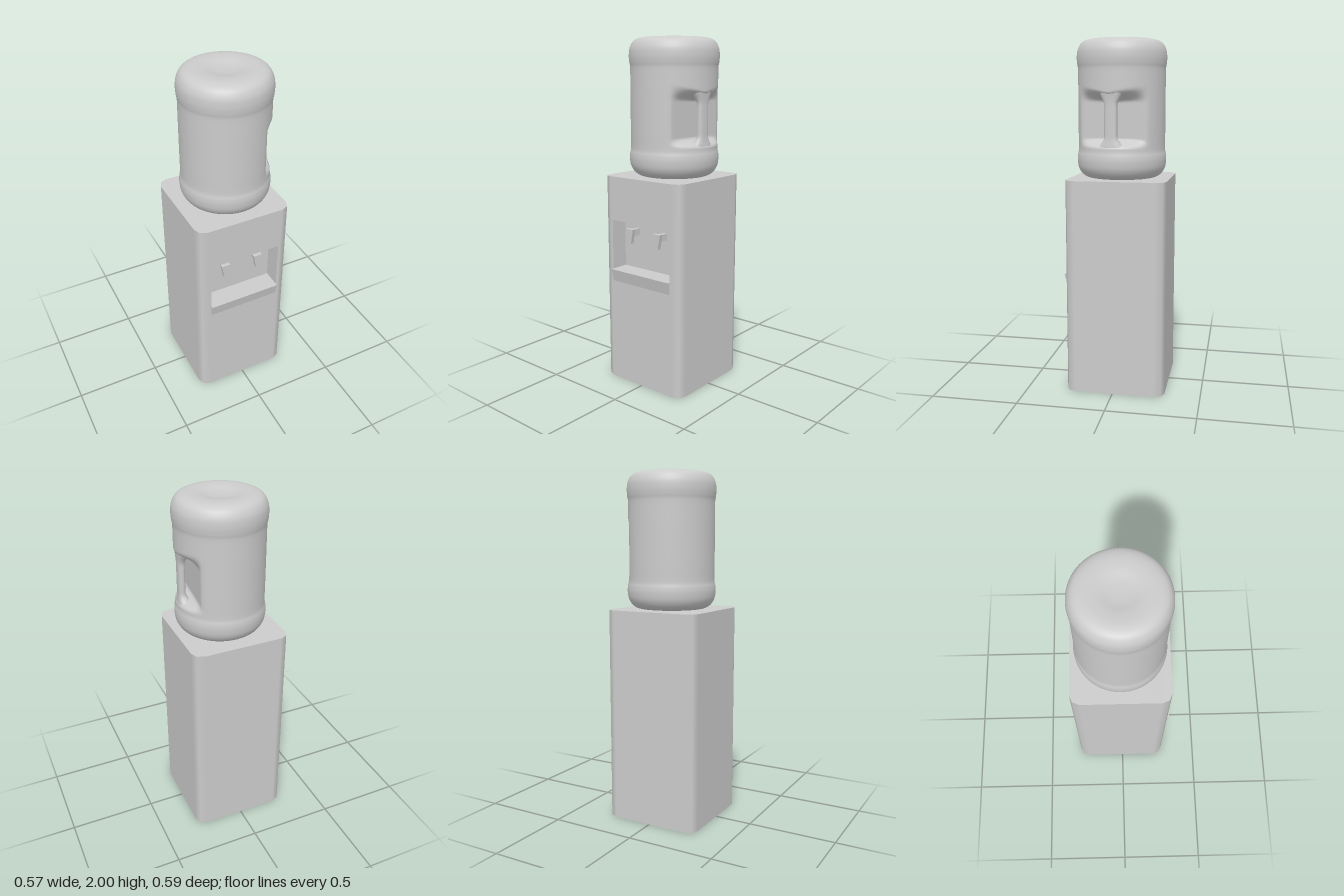
import * as THREE from 'three';
import { mergeVertices } from 'three/addons/utils/BufferGeometryUtils.js';

const grey = new THREE.MeshStandardMaterial({ color: 0xcccccc });
const HALF = 0.285, HEIGHT = 1.225;                 // cabinet
const RECESS = { w: 0.215, y0: 0.677, y1: 0.97, depth: 0.105 };
const WALL = 0.163;                                 // pocket wall of the bottle

function add(parent, name, geometry) {
  const mesh = new THREE.Mesh(geometry, grey);
  mesh.name = name;
  parent.add(mesh);
  return mesh;
}

// Vertices without seams, with smooth normals
function smooth(geometry) {
  geometry.deleteAttribute('uv');
  geometry.deleteAttribute('normal');
  const merged = mergeVertices(geometry, 1e-5);
  merged.computeVertexNormals();
  return merged;
}

function polygon(points) {
  return new THREE.Shape(points.map(([x, y]) => new THREE.Vector2(x, y)));
}

// Cabinet outline: a square with three points on each rounded corner
function cabinetOutline() {
  const r = 0.057, inner = (HALF - r) * Math.SQRT2, outline = [];
  for (let i = 0; i < 4; i++) {
    const c = (i + 0.5) * Math.PI / 2;
    for (let j = 0; j < 3; j++) {
      const a = (i + j / 2) * Math.PI / 2;
      const nx = Math.cos(a), nz = Math.sin(a);
      outline.push({ x: inner * Math.cos(c) + r * nx, z: inner * Math.sin(c) + r * nz, nx, nz });
    }
  }
  return outline;
}

function cabinet() {
  const group = new THREE.Group();
  group.name = 'cabinet';
  const outline = cabinetOutline(), n = outline.length;

  // Side and back walls, leaving the front open for its panel
  const pos = [], nor = [], idx = [];
  outline.forEach((p, k) => {
    pos.push(p.x, 0, p.z, p.x, HEIGHT, p.z);
    nor.push(p.nx, 0, p.nz, p.nx, 0, p.nz);
    if (k === 2) return;
    const a = 2 * k, b = 2 * ((k + 1) % n);
    idx.push(a, a + 1, b + 1, a, b + 1, b);
  });
  const walls = new THREE.BufferGeometry();
  walls.setAttribute('position', new THREE.Float32BufferAttribute(pos, 3));
  walls.setAttribute('normal', new THREE.Float32BufferAttribute(nor, 3));
  walls.setIndex(idx);
  add(group, 'cabinetWalls', walls);

  // Top and base
  const cap = polygon(outline.map(p => [p.x, p.z]));
  add(group, 'cabinetTop', new THREE.ShapeGeometry(cap).rotateX(-Math.PI / 2).translate(0, HEIGHT, 0));
  add(group, 'cabinetBase', new THREE.ShapeGeometry(cap).rotateX(Math.PI / 2));

  // Front panel with the opening
  const { w, y0, y1, depth } = RECESS, f = outline[2].x;
  const front = polygon([[-f, 0], [f, 0], [f, HEIGHT], [-f, HEIGHT]]);
  front.holes.push(polygon([[-w, y0], [-w, y1], [w, y1], [w, y0]]));
  add(group, 'frontPanel', new THREE.ShapeGeometry(front).translate(0, 0, HALF));

  // Recess: a box turned inside out without its front
  const recess = new THREE.BoxGeometry(2 * w, y1 - y0, depth);
  const faces = [...recess.index.array].filter((_, i) => i < 24 || i >= 30);
  recess.setIndex(faces.reverse());
  recess.computeVertexNormals();
  add(group, 'recess', recess).position.set(0, (y0 + y1) / 2, HALF - depth / 2);

  // Drip tray lip, tapering down to the front panel
  const lip = polygon([[HALF - 0.002, 0.605], [HALF, 0.605], [HALF + 0.016, y0], [HALF - 0.002, y0]]);
  add(group, 'dripTrayLip', new THREE.ExtrudeGeometry(lip, { depth: 2 * w, bevelEnabled: false })
    .translate(0, 0, -w).rotateY(-Math.PI / 2));

  // Taps: a tapered lever on an arm
  for (const x of [-0.107, 0.098]) {
    const tap = new THREE.Group();
    tap.name = 'tap';
    const lever = polygon([[-0.011, 0.84], [0.011, 0.84], [0.026, 0.925], [-0.026, 0.925]]);
    add(tap, 'tapLever', new THREE.ExtrudeGeometry(lever, { depth: 0.022, bevelEnabled: false }))
      .position.z = HALF - 0.047;
    add(tap, 'tapArm', new THREE.BoxGeometry(0.022, 0.04, 0.06)).position.set(0, 0.9, HALF - 0.076);
    tap.position.x = x;
    group.add(tap);
  }
  group.position.z = -0.01;
  return group;
}

function bottle() {
  const group = new THREE.Group();
  group.name = 'bottle';
  const step = THREE.MathUtils.smoothstep;

  // Turned body with a dished top
  const profile = new THREE.SplineCurve([
    [0, 1.227], [0.1, 1.226], [0.18, 1.226], [0.222, 1.243], [0.248, 1.28], [0.256, 1.325],
    [0.254, 1.36], [0.249, 1.39], [0.249, 1.5], [0.249, 1.7], [0.249, 1.83], [0.253, 1.86],
    [0.256, 1.9], [0.25, 1.945], [0.226, 1.983], [0.18, 1.999], [0.12, 1.998], [0.06, 1.987], [0, 1.983],
  ].map(([r, y]) => new THREE.Vector2(r, y))).getSpacedPoints(140);
  profile.forEach(p => { p.x = Math.max(0, p.x); });
  const body = new THREE.LatheGeometry(profile, 72);

  // Press a flat pocket into the handle side
  const p = body.attributes.position;
  for (let i = 0; i < p.count; i++) {
    const x = p.getX(i), y = p.getY(i), spread = 0.25 * Math.abs(p.getZ(i));
    const w = step(y, 1.405, 1.45) * (1 - step(y, 1.655, 1.70 + spread));
    if (x > WALL) p.setX(i, x - w * (x - WALL));
  }
  add(group, 'bottleBody', smooth(body));

  // Upright grip across the pocket, flaring into the body at both ends
  const y0 = 1.39, y1 = 1.735;
  const grip = new THREE.CylinderGeometry(1, 1, y1 - y0, 24, 32, true);
  grip.translate(0, (y0 + y1) / 2, 0);
  const g = grip.attributes.position;
  const round = v => Math.sign(v) * Math.pow(Math.abs(v), 0.75);
  for (let i = 0; i < g.count; i++) {
    const y = g.getY(i);
    const flare = Math.max(1 - step(y, y0, 1.465), step(y, 1.635, y1));
    const outer = 0.241 + 0.006 * flare, inner = 0.201 - 0.04 * flare;
    const z = round(g.getZ(i)) * (0.036 + 0.04 * flare);
    const x = (outer + inner) / 2 + round(g.getX(i)) * (outer - inner) / 2;
    g.setX(i, Math.min(x, Math.sqrt(0.248 ** 2 - z * z)));
    g.setZ(i, z);
  }
  add(group, 'bottleHandle', smooth(grip));

  group.position.set(0.014, 0, -0.008);
  group.rotation.y = -0.1;
  return group;
}

export function createModel() {
  const model = new THREE.Group();
  model.name = 'waterCooler';
  model.add(cabinet(), bottle());
  return model;
}
